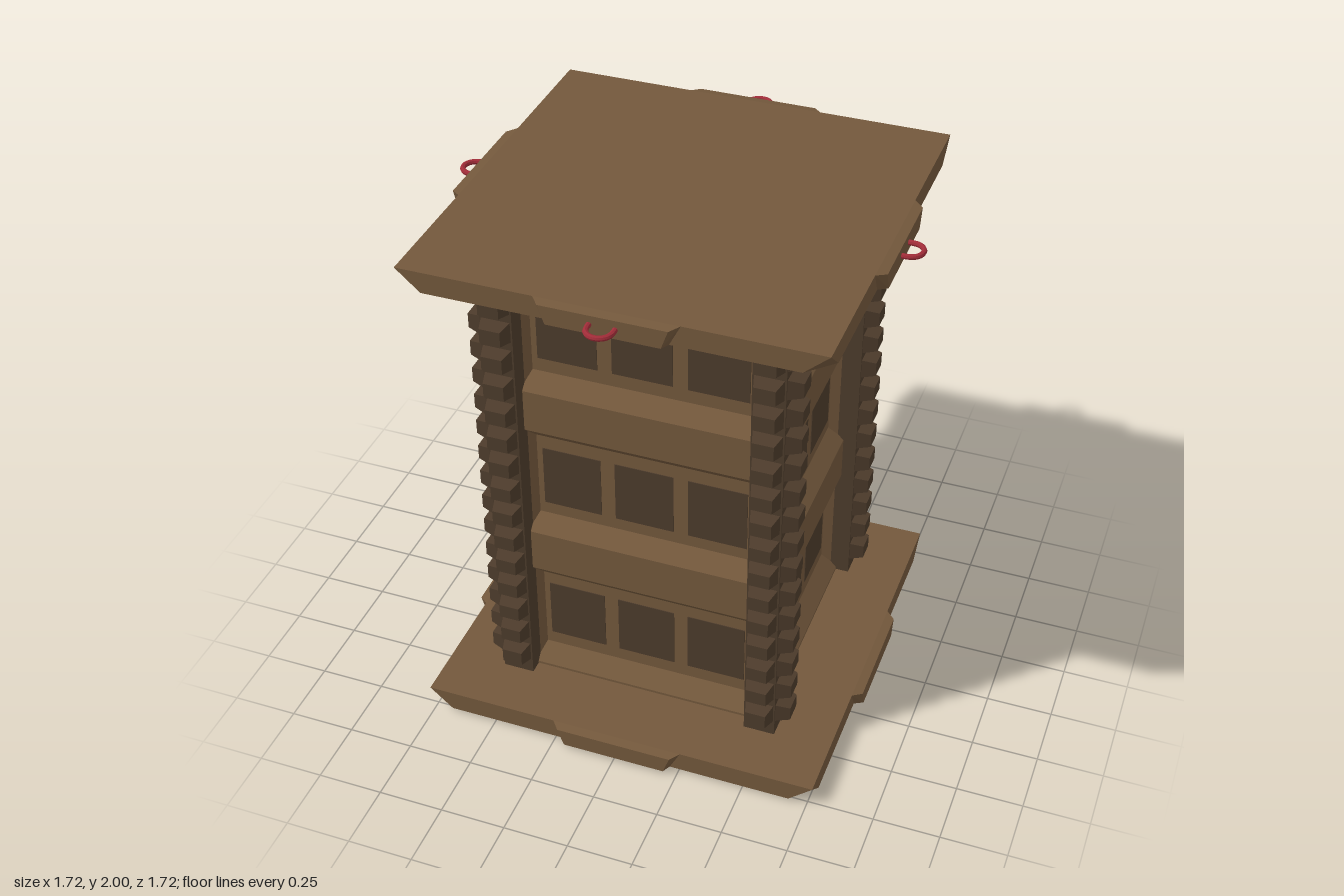
import * as THREE from 'three';
import { ConvexGeometry } from 'three/addons/geometries/ConvexGeometry.js';

const paint = (color) => new THREE.MeshStandardMaterial({ color, flatShading: true });
const wood = paint(0x73583c), dark = paint(0x4c3b2b), red = paint(0xa02c38);
const RECESS = 0.44, FLAT = 0.5;

function add(parent, name, geometry, material, x = 0, y = 0, z = 0) {
  const mesh = new THREE.Mesh(geometry, material);
  mesh.name = name;
  mesh.position.set(x, y, z);
  parent.add(mesh);
  return mesh;
}

const polygon = (points) => new THREE.Shape(points.map(([x, y]) => new THREE.Vector2(x, y)));
const hull = (points) => new ConvexGeometry(points.map((p) => new THREE.Vector3(...p)));

// Square slab with undercut corners and a tapered tab on every side
function slab(name, half, y0, y1) {
  const group = new THREE.Group();
  group.name = name;
  const points = [], cut = half - 0.09;
  for (const sx of [-1, 1]) for (const sz of [-1, 1]) {
    points.push([sx * half, y1, sz * half], [sx * half, y0, sz * cut], [sx * cut, y0, sz * half]);
  }
  add(group, 'slabBody', hull(points), wood);
  const tab = [];
  for (const s of [-1, 1]) {
    tab.push([s * 0.255, y1, half], [s * 0.215, y0, half],
      [s * 0.225, y1 - 0.006, half + 0.035], [s * 0.2, y0 + 0.004, half + 0.035]);
  }
  for (let i = 0; i < 4; i++) add(group, 'slabTab', hull(tab), wood).rotation.y = i * Math.PI / 2;
  return group;
}

// Horizontal band: flat front between y1 and y2, sloping back to the recess at y0 and y3
function bandGeometry([y0, y1, y2, y3]) {
  const shape = polygon([[RECESS, y0], [FLAT, y1], [FLAT, y2], [RECESS, y3]]);
  return new THREE.ExtrudeGeometry(shape, { depth: 0.94, bevelEnabled: false })
    .rotateY(-Math.PI / 2).translate(0.47, 0, 0);
}

// Horizontal loop on the lid edge
function ringGeometry() {
  const points = [[-0.045, 0.77], [-0.045, 0.805]];
  for (let i = 1; i < 8; i++) {
    const a = Math.PI * (1 - i / 8);
    points.push([0.045 * Math.cos(a), 0.805 + 0.045 * Math.sin(a)]);
  }
  points.push([0.045, 0.805], [0.045, 0.77]);
  const path = new THREE.CatmullRomCurve3(points.map(([x, z]) => new THREE.Vector3(x, 0, z)));
  return new THREE.TubeGeometry(path, 28, 0.01, 8);
}

// One wall facing +z with three rows of windows
function wall() {
  const group = new THREE.Group();
  group.name = 'wall';
  const bands = [[0, 0, 0.1, 0.165], [0.52, 0.585, 0.76, 0.82],
    [1.175, 1.235, 1.405, 1.465], [1.825, 1.885, 1.93, 1.93]];
  for (const band of bands) add(group, 'band', bandGeometry(band), wood);
  // Bevelled ends of the recesses
  for (const s of [-1, 1]) {
    const shape = polygon([[s * 0.415, RECESS], [s * 0.47, RECESS], [s * 0.47, FLAT - 0.002], [s * 0.442, FLAT - 0.002]]);
    const geometry = new THREE.ExtrudeGeometry(shape, { depth: 1.88, bevelEnabled: false }).rotateX(Math.PI / 2);
    add(group, 'recessBevel', geometry, wood, 0, 1.92, 0);
  }
  for (const y of [0.345, 0.995, 1.645]) for (const x of [-0.28, 0, 0.28]) {
    add(group, 'window', new THREE.BoxGeometry(0.225, 0.25, 0.006), dark, x, y, RECESS);
  }
  return group;
}

// Corner post with a ladder of tapered studs on its two outer faces
function cornerPost() {
  const group = new THREE.Group();
  group.name = 'cornerPost';
  const c = 0.492, half = 0.06;
  add(group, 'post', new THREE.BoxGeometry(half * 2, 1.925, half * 2), dark, c, 0.9645, c);
  const stud = new THREE.CylinderGeometry(0.72 * Math.SQRT1_2, Math.SQRT1_2, 1, 4)
    .rotateY(Math.PI / 4).rotateX(Math.PI / 2).scale(0.108, 0.08, 0.055);
  for (let i = 0; i < 15; i++) {
    const y = 0.195 + i * 0.1146;
    add(group, 'stud', stud, dark, c, y, c + half + 0.0265);
    add(group, 'stud', stud, dark, c + half + 0.0265, y, c).rotation.y = Math.PI / 2;
  }
  return group;
}

export function createModel() {
  const model = new THREE.Group();
  model.name = 'tower';
  model.add(slab('base', 0.77, 0.01, 0.09), slab('lid', 0.75, 1.92, 2));
  add(model, 'core', new THREE.BoxGeometry(RECESS * 2, 1.92, RECESS * 2), wood, 0, 0.965, 0);
  const ring = ringGeometry();
  for (let i = 0; i < 4; i++) {
    const side = new THREE.Group();
    side.name = 'side';
    side.rotation.y = i * Math.PI / 2;
    side.add(wall(), cornerPost());
    add(side, 'ring', ring, red, 0, 1.96, 0);
    model.add(side);
  }
  return model;
}
